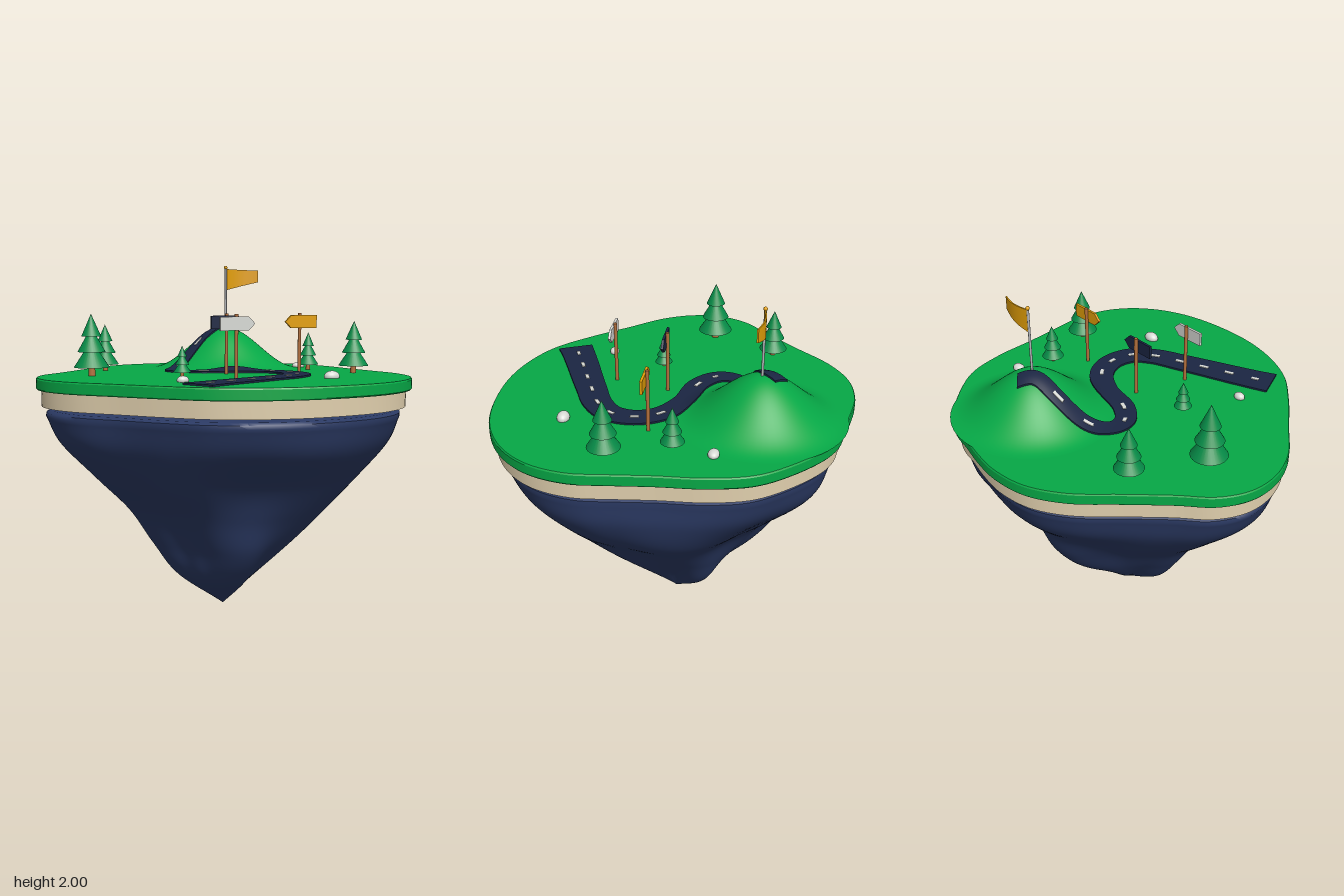
import * as THREE from 'three';
import { toCreasedNormals } from 'three/addons/utils/BufferGeometryUtils.js';

const material = (name, color, side = THREE.FrontSide) => {
  const m = new THREE.MeshStandardMaterial({ color, side });
  m.name = name;
  return m;
};

const GROUND = 1.37;
const HILL = { x: 0.3, z: -0.49, r: 0.46, h: 0.25 };
const bump = (r) => (r < HILL.r ? HILL.h * (0.5 + 0.5 * Math.cos((Math.PI * r) / HILL.r)) : 0);
const heightAt = (x, z) => GROUND + bump(Math.hypot(x - HILL.x, z - HILL.z));

// Island outline as x, z pairs
const outline = new THREE.CatmullRomCurve3([
  [0, -0.98], [0.17, -0.962], [0.32, -0.93], [0.45, -0.905], [0.57, -0.845], [0.745, -0.69],
  [0.875, -0.515], [0.935, -0.29], [0.955, -0.03], [0.98, 0.19], [0.997, 0.4], [0.94, 0.615],
  [0.8, 0.79], [0.565, 0.92], [0.2, 0.974], [-0.09, 0.94], [-0.355, 0.827], [-0.55, 0.648],
  [-0.737, 0.435], [-0.912, 0.23], [-0.99, 0.05], [-0.995, -0.13], [-0.92, -0.295], [-0.775, -0.435],
  [-0.59, -0.63], [-0.4, -0.83], [-0.21, -0.945],
].map(([x, z]) => new THREE.Vector3(x, 0, z)), true);

// Triangle grid over rows of points
function gridGeometry(rows, closed, flip) {
  const n = rows[0].length;
  const index = [];
  for (let i = 0; i < rows.length - 1; i++) {
    for (let j = 0; j < (closed ? n : n - 1); j++) {
      const k = (j + 1) % n;
      const a = i * n + j, b = i * n + k, c = (i + 1) * n + k, d = (i + 1) * n + j;
      if (flip) index.push(a, c, b, a, d, c);
      else index.push(a, b, c, a, c, d);
    }
  }
  const g = new THREE.BufferGeometry();
  g.setAttribute('position', new THREE.Float32BufferAttribute(rows.flat(2), 3));
  g.setIndex(index);
  g.computeVertexNormals();
  return g;
}

// Stack scaled copies of the outline, bottom to top; scale is a function of the angle
function loft(levels) {
  const pts = outline.getPoints(160).slice(0, -1);
  return gridGeometry(levels.map(({ scale, y, dx }) => pts.map((p) => {
    const k = scale(Math.atan2(p.z, p.x));
    return [p.x * k + dx, y, p.z * k];
  })), true, true);
}
const level = ([s, y]) => ({ scale: () => s, y, dx: 0 });

// Hanging rock: widths in eight directions from +x towards +z, at each height
const rockSections = [
  [0, [0, 0, 0, 0, 0, 0, 0, 0]],
  [0.2, [0.18, 0.18, 0.28, 0.3, 0.25, 0.23, 0.2, 0.25]],
  [0.4, [0.38, 0.36, 0.46, 0.4, 0.38, 0.41, 0.44, 0.37]],
  [0.6, [0.57, 0.54, 0.55, 0.53, 0.51, 0.55, 0.59, 0.49]],
  [0.8, [0.79, 0.72, 0.66, 0.72, 0.71, 0.72, 0.69, 0.69]],
  [1.0, [0.91, 0.88, 0.87, 0.88, 0.89, 0.88, 0.875, 0.88]],
  [1.16, [0.945, 0.945, 0.95, 0.945, 0.95, 0.945, 0.945, 0.945]],
];
function rockLevels(steps) {
  const sides = [0, 1, 2, 3, 4, 5, 6, 7].map((k) => new THREE.CatmullRomCurve3(
    rockSections.map(([y, s]) => new THREE.Vector3(s[k], y, 0)), false, 'catmullrom'));
  const levels = [];
  for (let i = 0; i <= steps; i++) {
    const ring = sides.map((c) => c.getPoint(i / steps));
    const y = ring[0].y, t = y / 1.16;
    const scale = (a) => {
      const u = ((a / (Math.PI / 4)) + 8) % 8, k = Math.floor(u);
      const s = THREE.MathUtils.lerp(ring[k].x, ring[(k + 1) % 8].x, THREE.MathUtils.smoothstep(u - k, 0, 1));
      return s * (1 + (1 - t) * (0.05 * Math.sin(5 * a - 6 * t) + 0.03 * Math.sin(8 * a + 4 * t)));
    };
    levels.push({ scale, y, dx: 0.07 * (1 - t) });
  }
  return levels;
}

// Winding road centre line
const roadPoints = [
  [-0.38, 0.69], [-0.295, 0.65], [-0.145, 0.585], [0, 0.525], [0.14, 0.465], [0.285, 0.4],
  [0.39, 0.305], [0.415, 0.17], [0.355, 0.04], [0.2, -0.06], [-0.01, -0.11], [-0.115, -0.195],
  [-0.125, -0.28], [-0.045, -0.385], [0.11, -0.465], [0.245, -0.51], [0.305, -0.585],
];
const roadCurve = new THREE.CatmullRomCurve3(roadPoints.map(([x, z]) => new THREE.Vector3(x, 0, z)));

// Strip draped over the ground along part of the road
function strip(t0, t1, steps, width, lift, thick) {
  const across = [-1, -1, -0.5, 0, 0.5, 1, 1];
  const rows = [];
  for (let i = -1; i <= steps + 1; i++) {
    const t = t0 + (t1 - t0) * THREE.MathUtils.clamp(i / steps, 0, 1);
    const p = roadCurve.getPoint(t), d = roadCurve.getTangent(t);
    rows.push(across.map((a, j) => {
      const w = (a * width(t)) / 2;
      const x = p.x - d.z * w, z = p.z + d.x * w;
      const low = i < 0 || i > steps || j === 0 || j === 6;
      return [x, heightAt(x, z) + lift - (low ? thick : 0), z];
    }));
  }
  return toCreasedNormals(gridGeometry(rows, false, false), 0.7);
}

export function createModel() {
  const model = new THREE.Group();
  model.name = 'floatingIsland';
  const grass = material('grass green', 0x06a846);
  const leaf = material('tree green', 0x068c48);
  const rock = material('rock navy', 0x2b3a64);
  const asphalt = material('asphalt navy', 0x1b2643, THREE.DoubleSide);
  const sand = material('sand', 0xe0cfad);
  const gold = material('gold', 0xe4a008);
  const wood = material('wood', 0xb36f3c);
  const pale = material('pale grey', 0xd8dad5);
  const metal = material('metal', 0xb4b6ba);

  const add = (name, geometry, mat, x = 0, y = 0, z = 0, parent = model) => {
    const mesh = new THREE.Mesh(geometry, mat);
    mesh.name = name;
    mesh.position.set(x, y, z);
    parent.add(mesh);
    return mesh;
  };
  const addGroup = (name) => {
    const g = new THREE.Group();
    g.name = name;
    model.add(g);
    return g;
  };

  // Island layers
  add('grassLayer', toCreasedNormals(loft([[0, 1.305], [0.995, 1.305], [1, 1.312], [1, 1.362],
    [0.995, GROUND], [0, GROUND]].map(level)), 0.35), grass);
  add('sandLayer', toCreasedNormals(loft([[0, 1.212], [0.972, 1.212], [0.972, 1.305], [0, 1.305]].map(level)), 0.35), sand);
  add('hangingRock', toCreasedNormals(loft([...rockLevels(48),
    ...[[0.945, 1.18], [0.92, 1.192], [0.8, 1.198], [0, 1.21]].map(level)]), 0.9), rock);

  // Hill
  const hillProfile = [];
  for (let i = 24; i >= 0; i--) {
    const r = (HILL.r * i) / 24;
    hillProfile.push(new THREE.Vector2(r, bump(r)));
  }
  add('hill', new THREE.LatheGeometry(hillProfile, 64), grass, HILL.x, GROUND, HILL.z);

  // Road with a dashed centre line
  add('road', strip(0, 1, 160, (t) => 0.2 - 0.105 * Math.min(1, t * 1.15), 0.01, 0.02), asphalt);
  const dashes = addGroup('roadDashes');
  const last = roadPoints.length - 1;
  for (const i of [1, 2, 3, 4, 5, 6, 7, 8, 10, 11, 13, 14]) {
    add('dash', strip((i - 0.17) / last, (i + 0.17) / last, 4, () => 0.02, 0.014, 0.006), pale, 0, 0, 0, dashes);
  }

  // Fir trees: x, z, height, radius
  for (const [x, z, h, r] of [[-0.68, -0.12, 0.345, 0.1], [-0.485, -0.49, 0.275, 0.08],
    [-0.235, 0.125, 0.17, 0.05], [0.67, -0.075, 0.225, 0.063], [0.79, 0.25, 0.3, 0.087]]) {
    const tree = addGroup('tree');
    tree.position.set(x, GROUND, z);
    add('trunk', new THREE.CylinderGeometry(0.05 * h, 0.06 * h, 0.25 * h, 12), wood, 0, 0.125 * h, 0, tree);
    [[1, 0.14, 0.44], [0.78, 0.39, 0.4], [0.55, 0.64, 0.36]].forEach(([k, base, tall]) => {
      add('foliage', new THREE.ConeGeometry(r * k, tall * h, 28), leaf, 0, (base + tall / 2) * h, 0, tree);
    });
  }

  // Stones: x, z, half width, half height, half depth
  for (const [x, z, a, b, c] of [[-0.36, 0.445, 0.033, 0.024, 0.026],
    [0.475, 0.54, 0.046, 0.032, 0.034], [0.72, -0.29, 0.04, 0.024, 0.03]]) {
    add('stone', new THREE.SphereGeometry(1, 20, 14), pale, x, GROUND + 0.008, z).scale.set(a, b, c);
  }

  // Arrow signposts: x, z, pointing direction, board colour
  const arrow = new THREE.Shape([[-0.103, -0.037], [0.065, -0.037], [0.103, 0], [0.065, 0.037], [-0.103, 0.037]]
    .map(([x, y]) => new THREE.Vector2(x, y)));
  for (const [x, z, dir, mat] of [[-0.012, 0.355, 1, pale], [0.068, 0.05, 1, asphalt], [0.527, 0.075, -1, gold]]) {
    const sign = addGroup('signpost');
    sign.position.set(x, GROUND, z);
    add('post', new THREE.CylinderGeometry(0.01, 0.01, 0.345, 14), wood, 0, 0.1725, 0, sign);
    const board = new THREE.ExtrudeGeometry(arrow, { depth: 0.014, bevelEnabled: false });
    board.translate(0, 0, -0.007);
    if (dir < 0) board.rotateY(Math.PI);
    add('arrowBoard', board, mat, 0, 0.295, 0.013, sign);
  }

  // Flag on the hilltop
  const flag = addGroup('flag');
  flag.position.set(0.305, 0, -0.485);
  add('flagPole', new THREE.CylinderGeometry(0.007, 0.007, 0.39, 12), metal, 0, 1.795, 0, flag);
  add('poleBall', new THREE.SphereGeometry(0.011, 14, 10), gold, 0, 1.989, 0, flag);
  const cloth = new THREE.BoxGeometry(1, 1, 0.008, 16, 1, 1);
  const pos = cloth.attributes.position;
  for (let i = 0; i < pos.count; i++) {
    const u = pos.getX(i) + 0.5, v = pos.getY(i) + 0.5;
    const low = 1.85 + 0.05 * u, high = 1.98 - 0.008 * u;
    pos.setXYZ(i, 0.005 + 0.21 * u, low + (high - low) * v,
      pos.getZ(i) + 0.018 * u * u - 0.013 * Math.sin(u * Math.PI));
  }
  cloth.computeVertexNormals();
  add('flagCloth', cloth, gold, 0, 0, 0, flag);

  return model;
}
